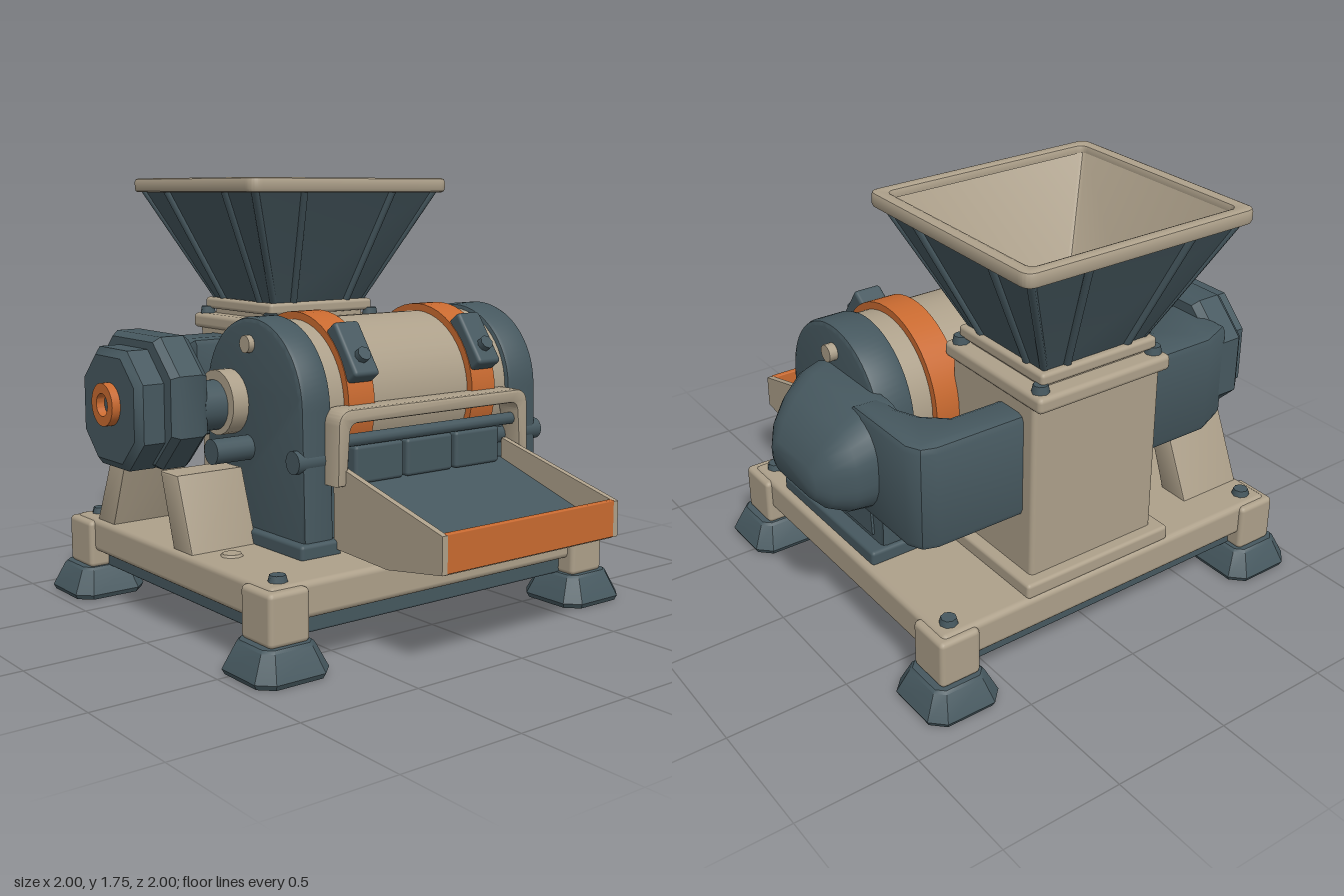
import * as THREE from 'three';
import { toCreasedNormals } from 'three/addons/utils/BufferGeometryUtils.js';
import { RoundedBoxGeometry } from 'three/addons/geometries/RoundedBoxGeometry.js';

const makeMat = (name, color) => new THREE.MeshStandardMaterial({ name, color, side: THREE.DoubleSide });

// Rounded-rectangle sections [t, u0, u1, v0, v1, r] joined along an axis
function loft(axis, sections, k = 3, capped = true) {
  const pos = [], idx = [], n = 4 * (k + 1);
  const put = (t, u, v) => pos.push(...(axis === 'x' ? [t, u, v] : axis === 'y' ? [v, t, u] : [u, v, t]));
  for (const [t, u0, u1, v0, v1, r] of sections) {
    const corners = [[u1 - r, v1 - r], [u0 + r, v1 - r], [u0 + r, v0 + r], [u1 - r, v0 + r]];
    corners.forEach(([cu, cv], q) => {
      for (let i = 0; i <= k; i++) {
        const a = (q + i / k) * Math.PI / 2;
        put(t, cu + r * Math.cos(a), cv + r * Math.sin(a));
      }
    });
  }
  for (let s = 0; s < sections.length - 1; s++) {
    for (let i = 0; i < n; i++) {
      const a = s * n + i, b = s * n + (i + 1) % n;
      idx.push(a, b, b + n, a, b + n, a + n);
    }
  }
  if (capped) {
    const last = (sections.length - 1) * n;
    for (let i = 1; i < n - 1; i++) idx.push(0, i + 1, i, last, last + i, last + i + 1);
  }
  const g = new THREE.BufferGeometry();
  g.setAttribute('position', new THREE.Float32BufferAttribute(pos, 3));
  g.setIndex(idx);
  return toCreasedNormals(g, 0.6);
}

function extrude(shape, depth, bevel) {
  const g = new THREE.ExtrudeGeometry(shape, {
    depth: depth - 2 * bevel, bevelEnabled: bevel > 0, bevelSize: bevel, bevelThickness: bevel,
    bevelOffset: -bevel, bevelSegments: 2, curveSegments: 20,
  });
  return toCreasedNormals(g.translate(0, 0, bevel), 0.6);
}
const poly = (pts) => new THREE.Shape(pts.map(([a, b]) => new THREE.Vector2(a, b)));
// Shape given in (z, y), pushed along x
const extrudeX = (shape, x0, x1, bevel = 0) => extrude(shape, x1 - x0, bevel).rotateY(-Math.PI / 2).translate(x1, 0, 0);
// Shape given in (x, z), pushed along y
const extrudeY = (shape, y0, y1, bevel = 0) => extrude(shape, y1 - y0, bevel).rotateX(Math.PI / 2).translate(0, y1, 0);

function roundRect(x0, x1, y0, y1, r, target = new THREE.Shape()) {
  target.moveTo(x0 + r, y0).lineTo(x1 - r, y0).quadraticCurveTo(x1, y0, x1, y0 + r)
    .lineTo(x1, y1 - r).quadraticCurveTo(x1, y1, x1 - r, y1)
    .lineTo(x0 + r, y1).quadraticCurveTo(x0, y1, x0, y1 - r)
    .lineTo(x0, y0 + r).quadraticCurveTo(x0, y0, x0 + r, y0);
  return target;
}

export function createModel() {
  const model = new THREE.Group();
  model.name = 'grinderMill';
  const beige = makeMat('beige paint', 0xada08a);
  const dark = makeMat('dark slate paint', 0x46585f);
  const orange = makeMat('orange paint', 0xc96a30);

  const add = (name, geometry, material, parent = model) => {
    const m = new THREE.Mesh(geometry, material);
    m.name = name;
    parent.add(m);
    return m;
  };
  const box = (name, mat, x0, x1, y0, y1, z0, z1, r = 0.015, parent = model) => {
    const m = add(name, new RoundedBoxGeometry(x1 - x0, y1 - y0, z1 - z0, 2, r), mat, parent);
    m.position.set((x0 + x1) / 2, (y0 + y1) / 2, (z0 + z1) / 2);
    return m;
  };
  const rodX = (name, mat, x0, x1, y, z, r, sides = 24) =>
    add(name, new THREE.CylinderGeometry(r, r, x1 - x0, sides).rotateZ(Math.PI / 2).translate((x0 + x1) / 2, y, z), mat);
  const bolt = (name, mat, x, y, z, r = 0.038, h = 0.03) =>
    add(name, new THREE.CylinderGeometry(r * 0.8, r, h, 8).translate(x, y + h / 2, z), mat);

  // Base, corner posts and feet
  box('basePlate', beige, -0.86, 0.78, 0.19, 0.33, -0.84, 0.63, 0.025);
  box('underPlate', dark, -0.8, 0.72, 0.12, 0.2, -0.79, 0.58, 0.01);
  for (const sx of [-1, 1]) for (const sz of [-1, 1]) {
    const px = -0.04 + sx * 0.755, pz = -0.1 + sz * 0.665;
    box('cornerPost', beige, px - 0.088, px + 0.088, 0.12, 0.32, pz - 0.095, pz + 0.095, 0.02);
    const fx = -0.04 + sx * 0.76, fz = -0.1 + sz * 0.67;
    const ring = (y, h, r) => [y, fz - h, fz + h, fx - h, fx + h, r];
    add('foot', loft('y', [ring(0, 0.15, 0.05), ring(0.02, 0.16, 0.055), ring(0.115, 0.115, 0.035), ring(0.125, 0.105, 0.03)], 1), dark);
    bolt('baseBolt', dark, -0.035 + sx * 0.745, 0.325, -0.105 + sz * 0.665);
  }
  bolt('basePlug', beige, -0.72, 0.325, 0.17, 0.048, 0.015);

  // Drum with bands and clamps
  const dy = 0.88, dz = 0.03;
  rodX('drum', beige, -0.42, 0.56, dy, dz, 0.315, 48);
  for (const x of [-0.255, 0.38]) {
    rodX('drumBand', orange, x - 0.063, x + 0.063, dy, dz, 0.345, 48);
    const clamp = new THREE.Group();
    clamp.name = 'bandClamp';
    clamp.position.set(x, dy, dz);
    clamp.rotation.x = 0.95;
    model.add(clamp);
    box('clampBlock', dark, -0.06, 0.06, 0.32, 0.39, -0.12, 0.12, 0.015, clamp);
    add('clampBolt', new THREE.CylinderGeometry(0.03, 0.03, 0.03, 8).translate(0, 0.4, 0.04), dark, clamp);
  }

  // Arched side plates
  for (const [x0, x1, f0, f1, p0, p1] of [[-0.53, -0.39, -0.56, -0.37, -0.555, -0.4], [0.53, 0.69, 0.5, 0.75, 0.6, 0.725]]) {
    const arch = new THREE.Shape();
    arch.moveTo(-0.29, 0.35).lineTo(0.38, 0.35).lineTo(0.365, dy).absarc(dz, dy, 0.335, 0, Math.PI, false).lineTo(-0.29, 0.35);
    add('sidePlate', extrudeX(arch, x0, x1, 0.02), dark);
    box('sidePlateFoot', dark, f0, f1, 0.32, 0.385, -0.31, 0.4);
    rodX('sidePin', beige, p0, p1, 1.11, 0.02, 0.035, 12);
  }
  add('sidePanel', extrudeX(poly([[0.25, 0.41], [-0.23, 0.41], [-0.21, 0.66], [0.2, 0.66]]), 0.68, 0.7), dark);
  add('sideGusset', extrudeX(poly([[0.37, 0.38], [0.29, 0.38], [0.25, 0.7], [0.29, 0.72]]), 0.66, 0.71), dark);

  // Outlet gate and strap frame
  box('outletBlock', dark, -0.4, 0.54, 0.36, 0.76, 0.12, 0.36);
  rodX('gatePivot', dark, -0.55, 0.72, 0.69, 0.33, 0.045, 16);
  rodX('gateRail', dark, -0.37, 0.5, 0.765, 0.41, 0.025, 12);
  for (const x of [-0.2, 0.055, 0.31]) box('gateFlap', dark, x - 0.12, x + 0.12, 0.59, 0.74, 0.36, 0.42);
  const strap = new THREE.Shape();
  strap.moveTo(-0.43, 0.6).lineTo(-0.385, 0.6).lineTo(-0.37, 0.8).quadraticCurveTo(-0.365, 0.835, -0.33, 0.835)
    .lineTo(0.46, 0.835).quadraticCurveTo(0.495, 0.835, 0.5, 0.8).lineTo(0.515, 0.6).lineTo(0.56, 0.6)
    .lineTo(0.555, 0.83).quadraticCurveTo(0.55, 0.89, 0.49, 0.89).lineTo(-0.36, 0.89)
    .quadraticCurveTo(-0.42, 0.89, -0.425, 0.83).lineTo(-0.43, 0.6);
  add('strapFrame', extrude(strap, 0.115, 0.012).translate(0, 0, 0.34), beige);

  // Discharge chute
  const side = [[1, 0.38], [1, 0.52], [0.38, 0.68], [0.38, 0.35], [0.7, 0.335]];
  for (const x of [-0.395, 0.48]) add('chuteSide', extrudeX(poly(side), x, x + 0.025), beige);
  add('chuteFloor', extrudeX(poly([[0.97, 0.39], [0.97, 0.41], [0.37, 0.6], [0.37, 0.56]]), -0.375, 0.485), dark);
  add('chuteBottom', extrudeX(poly([[0.99, 0.375], [0.99, 0.39], [0.7, 0.36], [0.38, 0.37], [0.38, 0.35], [0.7, 0.338]]), -0.375, 0.485), beige);
  box('chuteLip', orange, -0.375, 0.485, 0.38, 0.525, 0.975, 1, 0.005);

  // Feed tower and flanges
  const hx = 0.04, hz = -0.525;
  box('feedTower', beige, hx - 0.3, hx + 0.3, 0.33, 1.12, -0.78, -0.27, 0.02);
  box('towerFoot', beige, hx - 0.35, hx + 0.35, 0.32, 0.385, -0.83, -0.28);
  box('towerFlange', beige, hx - 0.31, hx + 0.31, 1.095, 1.16, -0.825, -0.23, 0.02);
  box('neck', beige, hx - 0.24, hx + 0.24, 1.14, 1.2, -0.75, -0.3);
  box('hopperFlange', beige, hx - 0.27, hx + 0.27, 1.18, 1.23, -0.785, -0.27, 0.015);
  for (const sx of [-1, 1]) for (const sz of [-1, 1]) bolt('flangeBolt', dark, hx + sx * 0.265, 1.155, hz + sz * 0.245, 0.035, 0.035);

  // Hopper shell, lining, rim and ribs
  const frame = (y, ax, az) => [y, hz - az, hz + az, hx - ax, hx + ax, 0.02];
  add('hopperShell', loft('y', [frame(1.22, 0.24, 0.23), frame(1.71, 0.475, 0.445)], 2, false), dark);
  add('hopperLining', loft('y', [frame(1.235, 0.215, 0.205), frame(1.72, 0.455, 0.425)], 2, false), beige);
  const rim = roundRect(hx - 0.51, hx + 0.51, -1, -0.04, 0.05);
  rim.holes.push(roundRect(hx - 0.455, hx + 0.455, -0.945, -0.095, 0.03, new THREE.Path()));
  add('hopperRim', extrudeY(rim, 1.69, 1.75, 0.015), beige);
  const rib = (a, b) => add('hopperRib', new THREE.TubeGeometry(new THREE.LineCurve3(new THREE.Vector3(...a), new THREE.Vector3(...b)), 1, 0.016, 6), dark);
  for (const s of [-1, 1]) for (const t of [-1, 1]) {
    rib([hx + t * 0.14, 1.23, hz + s * 0.235], [hx + t * 0.23, 1.7, hz + s * 0.445]);
    rib([hx + s * 0.245, 1.23, hz + t * 0.14], [hx + s * 0.475, 1.7, hz + t * 0.23]);
    rib([hx + s * 0.23, 1.23, hz + t * 0.22], [hx + s * 0.465, 1.7, hz + t * 0.435]);
  }

  // Return duct on the left: elbow and bulging end
  const elbow = poly([[0.3, -0.72], [0.71, -0.72], [0.77, -0.7], [0.8, -0.64], [0.8, -0.28], [0.68, -0.28],
    [0.67, -0.4], [0.63, -0.49], [0.55, -0.56], [0.3, -0.56]]);
  add('ductElbow', extrudeY(elbow, 0.62, 1.05, 0.03), dark);
  add('ductNose', loft('x', [
    [0.66, 0.635, 1.04, -0.46, 0.2, 0.15], [0.7, 0.63, 1.05, -0.47, 0.215, 0.17], [0.78, 0.635, 1.04, -0.47, 0.19, 0.17],
    [0.88, 0.65, 0.99, -0.45, 0.12, 0.14], [0.95, 0.68, 0.92, -0.4, 0.06, 0.1],
    [0.99, 0.72, 0.85, -0.34, 0, 0.06], [1, 0.75, 0.82, -0.31, -0.03, 0.03]], 6), dark);

  // Drive housing on the right: duct, stepped casing, shaft and coupling
  const driveDuct = poly([[-0.2, -0.7], [-0.6, -0.7], [-0.74, -0.64], [-0.74, -0.36], [-0.58, -0.36], [-0.45, -0.5], [-0.2, -0.5]]);
  add('driveDuct', extrudeY(driveDuct, 0.66, 1.08, 0.03), dark);
  add('driveCasing', loft('x', [
    [-0.85, 0.64, 1.12, -0.62, -0.04, 0.13], [-0.82, 0.62, 1.14, -0.645, -0.02, 0.14],
    [-0.72, 0.62, 1.14, -0.645, -0.02, 0.14], [-0.69, 0.64, 1.12, -0.62, -0.04, 0.13]], 1), dark);
  add('driveCover', loft('x', [
    [-0.965, 0.65, 1.06, -0.52, -0.12, 0.1], [-0.94, 0.62, 1.09, -0.55, -0.09, 0.12], [-0.83, 0.62, 1.09, -0.55, -0.09, 0.12]], 1), dark);
  const hub = new THREE.Shape().absarc(-0.31, 0.875, 0.085, 0, Math.PI * 2, false);
  hub.holes.push(new THREE.Path().absarc(-0.31, 0.875, 0.045, 0, Math.PI * 2, true));
  add('shaftHub', extrudeX(hub, -1, -0.94), orange);
  rodX('couplingDisc', dark, -0.7, -0.6, 0.86, -0.13, 0.1);
  rodX('couplingCollar', beige, -0.6, -0.52, 0.87, -0.12, 0.13);
  rodX('couplingShaft', dark, -0.7, -0.5, 0.7, 0.0, 0.05, 16);

  // Splayed legs under the drive housing
  const legs = [[[-0.15, 0.62], [-0.02, 0.62], [0.08, 0.325], [-0.06, 0.325]], [[-0.42, 0.64], [-0.54, 0.64], [-0.68, 0.325], [-0.54, 0.325]]];
  for (const leg of legs) add('driveLeg', extrudeX(poly(leg), -0.84, -0.545, 0.008), beige);
  return model;
}
